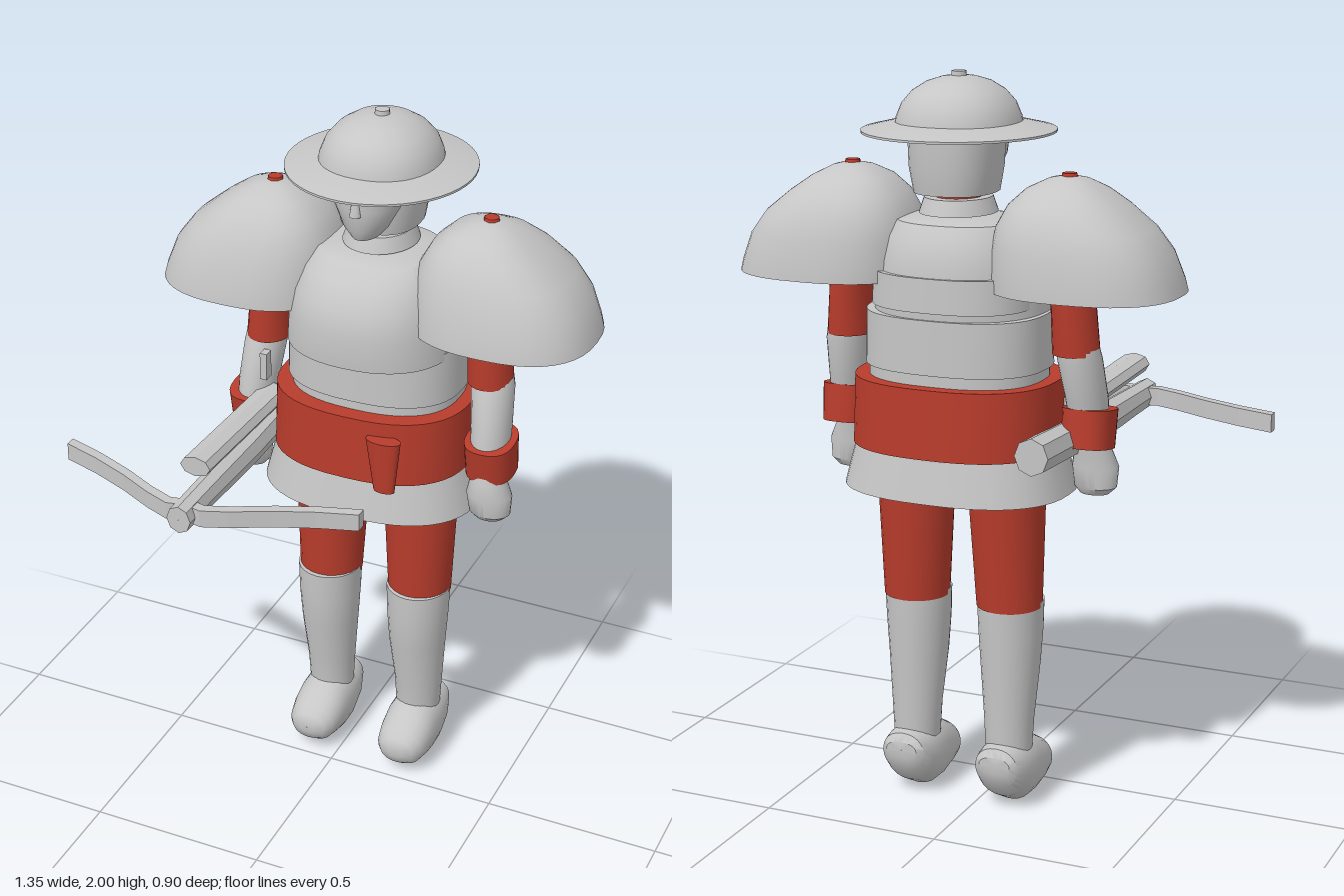
import * as THREE from 'three';
import { toCreasedNormals } from 'three/addons/utils/BufferGeometryUtils.js';

const steel = new THREE.MeshStandardMaterial({ color: 0xc6c6c6 });
steel.name = 'steel grey';
const cloth = new THREE.MeshStandardMaterial({ color: 0xb83c2c });
cloth.name = 'red cloth';

const CX = 0.06; // the figure's own middle line

// Skin over rings [x, y, z, rx, rz], listed from bottom to top; n > 2 makes squarer sections.
function loft(rings, { n = 2, sides = 32, caps = true, crease = 0.6 } = {}) {
  const all = rings.slice();
  if (caps) {
    const a = rings[0], b = rings[rings.length - 1];
    all.unshift([a[0], a[1], a[2], 0.0004, 0.0004]);
    all.push([b[0], b[1], b[2], 0.0004, 0.0004]);
  }
  const pos = [], idx = [];
  const pw = v => Math.sign(v) * Math.pow(Math.abs(v), 2 / n);
  for (const [x, y, z, rx, rz] of all) {
    for (let j = 0; j < sides; j++) {
      const t = (j / sides) * Math.PI * 2;
      pos.push(x + rx * pw(Math.cos(t)), y, z + rz * pw(Math.sin(t)));
    }
  }
  for (let i = 0; i < all.length - 1; i++) {
    for (let j = 0; j < sides; j++) {
      const k = (j + 1) % sides;
      const a = i * sides + j, b = a + sides, c = b - j + k, d = a - j + k;
      idx.push(a, b, d, b, c, d);
    }
  }
  const g = new THREE.BufferGeometry();
  g.setAttribute('position', new THREE.Float32BufferAttribute(pos, 3));
  g.setIndex(idx);
  return toCreasedNormals(g, crease);
}

// Same, running along +z: rings [x, y, z, rx, ry].
function loftZ(rings, opts) {
  return loft(rings.map(([x, y, z, rx, ry]) => [x, z, -y, rx, ry]), opts).rotateX(Math.PI / 2);
}

function add(parent, name, geo, mat) {
  const m = new THREE.Mesh(geo, mat);
  m.name = name;
  parent.add(m);
  return m;
}

function buildTorso(g) {
  const o = { n: 2.5, sides: 48 };
  add(g, 'skirt', loft([[CX, 0.9, -0.182, 0.312, 0.238], [CX, 1.03, -0.182, 0.278, 0.212]], o), steel);
  add(g, 'hipBand', loft([[CX, 0.98, -0.185, 0.262, 0.215], [CX, 1.06, -0.185, 0.25, 0.21]], o), steel);
  add(g, 'belt', loft([[CX, 1.02, -0.185, 0.282, 0.235], [CX, 1.205, -0.185, 0.276, 0.228]], o), cloth);
  add(g, 'lowerWaistPlate', loft([[CX, 1.18, -0.19, 0.238, 0.185], [CX, 1.255, -0.19, 0.238, 0.185]], o), steel);
  add(g, 'upperWaistPlate', loft([[CX, 1.235, -0.187, 0.248, 0.193], [CX, 1.38, -0.187, 0.244, 0.193]], o), steel);
  add(g, 'breastplate', loft([
    [CX, 1.36, -0.157, 0.234, 0.215], [CX, 1.45, -0.157, 0.226, 0.222], [CX, 1.52, -0.162, 0.214, 0.21],
    [CX, 1.58, -0.172, 0.192, 0.182], [CX, 1.618, -0.182, 0.165, 0.145], [CX, 1.632, -0.19, 0.09, 0.09],
  ], { ...o, n: 2.3 }), steel);
  add(g, 'backPlate', loft([[CX, 1.4, -0.2, 0.222, 0.185], [CX, 1.49, -0.21, 0.214, 0.172]], o), steel);
  add(g, 'pouch', loft([[0.18, 1.01, 0.052, 0.03, 0.016], [0.175, 1.165, 0.05, 0.05, 0.026]], { sides: 20 }), cloth);
}

function buildHead(g) {
  add(g, 'neck', loft([[CX, 1.6, -0.19, 0.062, 0.07], [CX, 1.71, -0.19, 0.062, 0.07]]), cloth);
  add(g, 'collar', loft([[CX, 1.637, -0.19, 0.102, 0.115], [CX, 1.678, -0.19, 0.088, 0.1]]), steel);
  add(g, 'coif', loft([
    [CX, 1.692, -0.2, 0.106, 0.118], [CX, 1.76, -0.2, 0.117, 0.13], [CX, 1.87, -0.2, 0.122, 0.13],
  ], { n: 2.4 }), steel);
  add(g, 'face', loft([
    [CX, 1.69, -0.1, 0.038, 0.062], [CX, 1.72, -0.1, 0.062, 0.078], [CX, 1.78, -0.1, 0.092, 0.084],
    [CX, 1.86, -0.1, 0.104, 0.088],
  ]), steel);
  add(g, 'nose', loft([[CX, 1.768, -0.016, 0.016, 0.014], [CX, 1.82, -0.016, 0.008, 0.005]], { sides: 10 }), steel);
  for (const s of [-1, 1]) {
    const eye = add(g, 'eye', new THREE.SphereGeometry(1, 14, 8), steel);
    eye.scale.set(0.026, 0.009, 0.008);
    eye.position.set(CX + s * 0.052, 1.823, -0.026);
    eye.rotation.y = s * 0.45;
  }
  // Wide-brimmed helmet
  const lathe = pts => toCreasedNormals(
    new THREE.LatheGeometry(pts.map(([r, y]) => new THREE.Vector2(r, y)), 48), 0.6)
    .scale(1, 1, 1.045).translate(CX, 0, -0.185);
  add(g, 'helmetBrim', lathe([[0, 1.858], [0.15, 1.856], [0.253, 1.845], [0.253, 1.851], [0.165, 1.872], [0, 1.875]]), steel);
  const crown = [[1.865, 0.162, 0.17], [1.885, 0.158, 0.166], [1.92, 0.144, 0.152], [1.95, 0.118, 0.126],
    [1.973, 0.082, 0.09], [1.985, 0.045, 0.05], [1.989, 0.01, 0.01]];
  add(g, 'helmetCrown', loft(crown.map(([y, a, b]) => [CX, y, -0.185, a, b]), { n: 2.2, sides: 40 }), steel);
  add(g, 'helmetKnob', new THREE.CylinderGeometry(0.019, 0.021, 0.02, 12).translate(CX, 1.99, -0.185), steel);
}

// One side's limbs, measured from the middle line towards +x.
function buildSide(name) {
  const g = new THREE.Group();
  g.name = name;
  // Hollow shoulder dome: [y, inner x, outer x, front z, back z]
  const dome = [[1.457, 0.115, 0.615, 0.032, -0.402], [1.488, 0.115, 0.607, 0.028, -0.4],
    [1.56, 0.118, 0.58, 0.01, -0.39], [1.62, 0.13, 0.535, -0.012, -0.373], [1.675, 0.16, 0.467, -0.043, -0.34],
    [1.715, 0.203, 0.41, -0.085, -0.293], [1.74, 0.255, 0.36, -0.135, -0.238], [1.75, 0.3, 0.32, -0.178, -0.196]];
  const outer = dome.map(([y, a, b, f, k]) => [(a + b) / 2, y, (f + k) / 2, (b - a) / 2, (f - k) / 2]);
  const inner = outer.map(([x, y, z, rx, rz], i) =>
    [x, i ? y - 0.018 : y, z, Math.max(rx - 0.022, 0.002), Math.max(rz - 0.022, 0.002)]).reverse();
  add(g, 'shoulderGuard', loft([...inner, ...outer], { n: 2.5, sides: 40 }), steel);
  add(g, 'shoulderStud', new THREE.CylinderGeometry(0.02, 0.022, 0.008, 8).translate(0.31, 1.751, -0.187), cloth);

  const o = { sides: 24 };
  add(g, 'upperArm', loft([[0.328, 1.285, -0.178, 0.062, 0.07], [0.318, 1.46, -0.182, 0.055, 0.076],
    [0.29, 1.6, -0.185, 0.052, 0.07]], o), cloth);
  add(g, 'forearm', loft([[0.35, 1.08, -0.136, 0.052, 0.066], [0.347, 1.16, -0.148, 0.054, 0.07],
    [0.337, 1.27, -0.175, 0.058, 0.068], [0.335, 1.3, -0.18, 0.054, 0.062]], o), steel);
  const cuff = loft([[0, -0.052, 0, 0.067, 0.074], [0, 0.052, 0, 0.069, 0.08]], { ...o, n: 2.5 });
  add(g, 'cuff', cuff.rotateX(0.14).translate(0.352, 1.08, -0.143), cloth);
  add(g, 'hand', loft([[0.36, 0.896, -0.12, 0.04, 0.03], [0.362, 0.915, -0.118, 0.058, 0.046],
    [0.36, 0.97, -0.115, 0.064, 0.052], [0.354, 1.015, -0.118, 0.05, 0.05], [0.352, 1.05, -0.125, 0.044, 0.048]], o), steel);

  add(g, 'thigh', loft([[0.138, 0.57, -0.175, 0.09, 0.09], [0.133, 0.93, -0.182, 0.107, 0.108]], o), cloth);
  add(g, 'boot', loft([[0.139, 0.16, -0.182, 0.064, 0.066], [0.139, 0.25, -0.18, 0.069, 0.07],
    [0.138, 0.4, -0.168, 0.081, 0.088], [0.138, 0.5, -0.166, 0.088, 0.094], [0.138, 0.585, -0.167, 0.091, 0.096]], o), steel);
  add(g, 'shoe', loftZ([[0.14, 0.14, -0.286, 0.045, 0.024], [0.14, 0.13, -0.272, 0.062, 0.055],
    [0.14, 0.113, -0.235, 0.074, 0.078], [0.14, 0.1, -0.18, 0.079, 0.096], [0.14, 0.097, -0.13, 0.079, 0.095],
    [0.141, 0.092, -0.085, 0.077, 0.077], [0.141, 0.085, -0.04, 0.068, 0.059], [0.141, 0.085, -0.015, 0.05, 0.04],
    [0.141, 0.088, -0.004, 0.022, 0.018]], { ...o, n: 2.2 }), steel);
  return g;
}

function buildCrossbow() {
  const g = new THREE.Group();
  g.name = 'crossbow';
  const x = -0.235, o = { sides: 8, crease: 0.3 };
  add(g, 'stock', loftZ([[x, 1.055, -0.4, 0.047, 0.05], [x, 1.035, 0.04, 0.042, 0.05],
    [x, 1.035, 0.3, 0.036, 0.043], [x, 1.035, 0.447, 0.035, 0.04]], o), steel);
  add(g, 'upperRail', loftZ([[x, 1.125, -0.13, 0.044, 0.029], [x, 1.142, 0.345, 0.044, 0.029]], o), steel);
  add(g, 'trigger', new THREE.BoxGeometry(0.02, 0.08, 0.03).translate(-0.24, 1.23, -0.09), steel);
  // Bow: flat strip swept backwards to both tips, extruded upwards
  const line = [[0, 0.415], [0.05, 0.407], [0.12, 0.38], [0.22, 0.33], [0.33, 0.285], [0.437, 0.251]];
  const w = 0.015;
  const left = line.slice(1).map(([a, z]) => [-a, z]).reverse();
  const mid = [...left, [0, 0.395], ...line.slice(1)];
  const shape = new THREE.Shape([
    ...mid.map(([a, z]) => new THREE.Vector2(a, -(z + w))),
    ...mid.slice().reverse().map(([a, z]) => new THREE.Vector2(a, -(z - w))),
  ]);
  const bow = new THREE.ExtrudeGeometry(shape, { depth: 0.05, bevelEnabled: false });
  add(g, 'bow', bow.rotateX(-Math.PI / 2).translate(x, 1.012, 0), steel);
  return g;
}

export function createModel() {
  const root = new THREE.Group();
  root.name = 'armouredSoldier';
  buildTorso(root);
  buildHead(root);
  for (const s of [1, -1]) {
    const side = buildSide(s > 0 ? 'leftSide' : 'rightSide');
    side.scale.x = s;
    side.position.x = CX;
    root.add(side);
  }
  root.add(buildCrossbow());
  return root;
}
